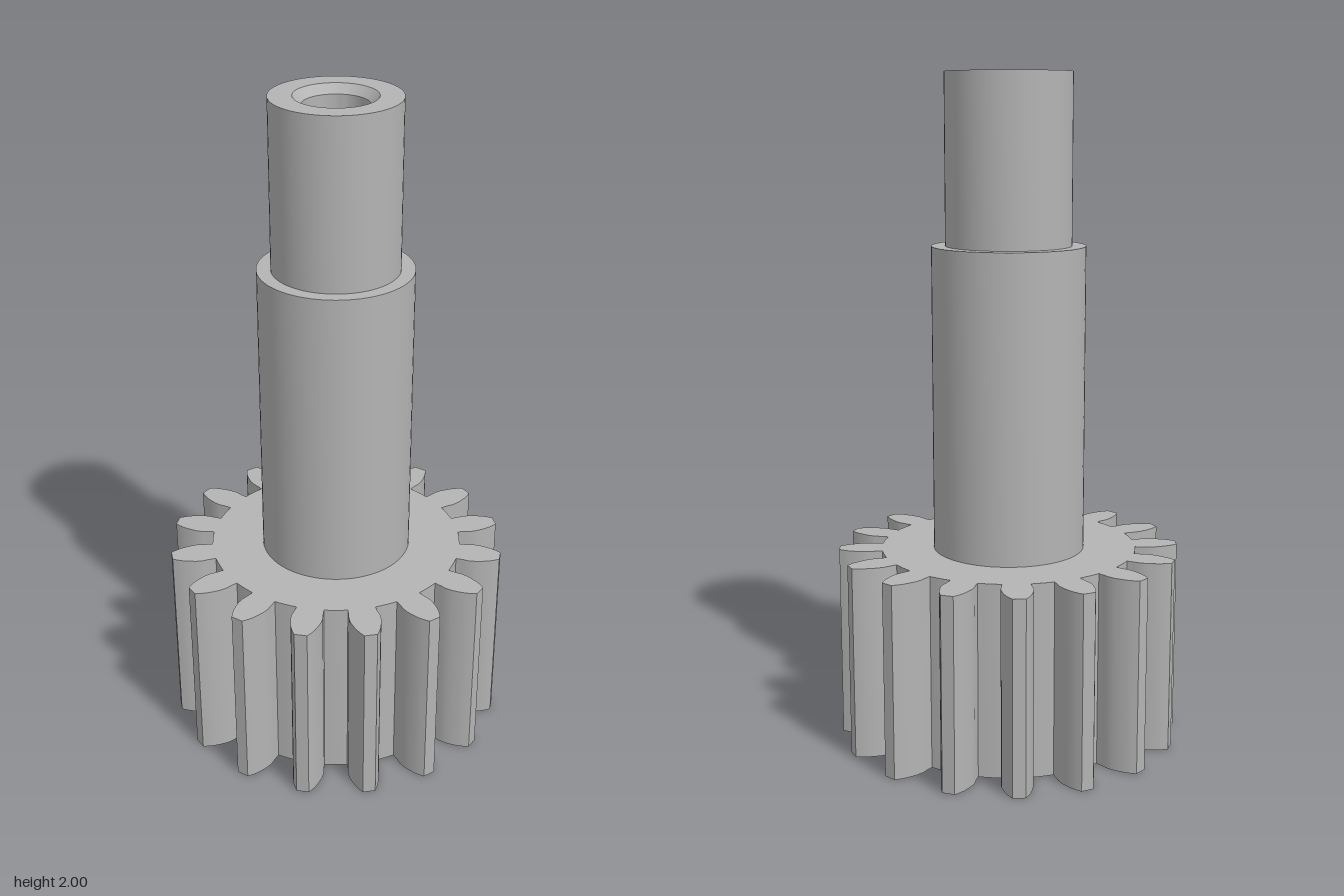
import * as THREE from 'three';
import { toCreasedNormals } from 'three/addons/utils/BufferGeometryUtils.js';

const TEETH = 16;
const GEAR_HEIGHT = 0.585;

// Points of a round hole with one flat side, counter-clockwise
function flattedCircle(radius, flat, segments = 40) {
  const start = -Math.asin(flat / radius);
  const sweep = Math.PI - 2 * start;
  return Array.from({ length: segments + 1 }, (_, i) => {
    const a = start + (sweep * i) / segments;
    return new THREE.Vector2(radius * Math.cos(a), radius * Math.sin(a));
  });
}

// Outline of the spur gear: curved tooth flanks joined by root arcs
function gearOutline() {
  const flank = [[0.384, 0.041], [0.405, 0.043], [0.425, 0.0465], [0.445, 0.0455],
    [0.465, 0.041], [0.485, 0.035], [0.5, 0.028], [0.515, 0.019]];
  const tooth = [...flank.map(([r, w]) => [r, -w]), ...flank.slice().reverse()];
  const pitch = (2 * Math.PI) / TEETH;
  const rootAngle = Math.atan2(0.041, 0.384);
  const points = [];
  for (let t = 0; t < TEETH; t++) {
    const a = t * pitch, c = Math.cos(a), s = Math.sin(a);
    for (const [r, w] of tooth) points.push(new THREE.Vector2(r * c - w * s, r * s + w * c));
    for (let k = 1; k < 4; k++) {
      const b = a + rootAngle + ((pitch - 2 * rootAngle) * k) / 4;
      points.push(new THREE.Vector2(0.386 * Math.cos(b), 0.386 * Math.sin(b)));
    }
  }
  return points;
}

// Inward-facing socket wall through a stack of flatted rings, closed on top
function socketGeometry(rings) {
  const loops = rings.map(([r, f, y]) =>
    flattedCircle(r, f).map((p) => [p.x, y, -p.y]));
  const pos = [];
  const n = loops[0].length;
  for (let i = 0; i < n; i++) {
    const j = (i + 1) % n;
    for (let k = 0; k < loops.length - 1; k++) {
      const a = loops[k][i], b = loops[k][j], c = loops[k + 1][j], d = loops[k + 1][i];
      pos.push(...a, ...d, ...b, ...b, ...d, ...c);
    }
    const top = loops[loops.length - 1];
    pos.push(0, top[0][1], 0, ...top[j], ...top[i]);
  }
  const g = new THREE.BufferGeometry();
  g.setAttribute('position', new THREE.Float32BufferAttribute(pos, 3));
  return toCreasedNormals(g, 0.4);
}

export function createModel() {
  const steel = new THREE.MeshStandardMaterial({ color: 0xb4b4b4 });
  steel.name = 'steel grey';
  const model = new THREE.Group();
  model.name = 'pinionShaft';
  const add = (name, geometry) => {
    const mesh = new THREE.Mesh(geometry, steel);
    mesh.name = name;
    model.add(mesh);
  };

  // Toothed gear with the socket opening
  const outline = new THREE.Shape(gearOutline());
  outline.holes.push(new THREE.Path(flattedCircle(0.14, 0.085).reverse()));
  const gear = new THREE.ExtrudeGeometry(outline, { depth: GEAR_HEIGHT, bevelEnabled: false });
  gear.rotateX(-Math.PI / 2);
  add('gear', toCreasedNormals(gear, 0.4));

  // Chamfered drive socket in the underside
  add('driveSocket', socketGeometry([[0.14, 0.085, 0], [0.115, 0.06, 0.025], [0.115, 0.06, 0.5]]));

  // Stepped shaft with a chamfered bore in the top end
  const profile = [[0.228, GEAR_HEIGHT], [0.228, 1.5], [0.187, 1.5], [0.187, 2],
    [0.119, 2], [0.095, 1.975], [0.095, 0.55], [0, 0.55]]
    .map(([x, y]) => new THREE.Vector2(x, y));
  add('shaft', toCreasedNormals(new THREE.LatheGeometry(profile, 64), 0.4));

  // Flat-sided ledge at the bottom of the bore, with a bevelled upper edge
  const ledge = new THREE.Shape();
  const half = Math.asin(0.04 / 0.095);
  ledge.absarc(0, 0, 0.095, Math.PI + half, 2 * Math.PI - half, false);
  ledge.closePath();
  const ledgeGeometry = new THREE.ExtrudeGeometry(ledge,
    { depth: 0.05, bevelThickness: 0.007, bevelSize: 0.007, bevelOffset: -0.007, bevelSegments: 1 });
  ledgeGeometry.rotateX(-Math.PI / 2);
  ledgeGeometry.translate(0, 0.55, 0);
  add('boreLedge', ledgeGeometry);

  return model;
}
